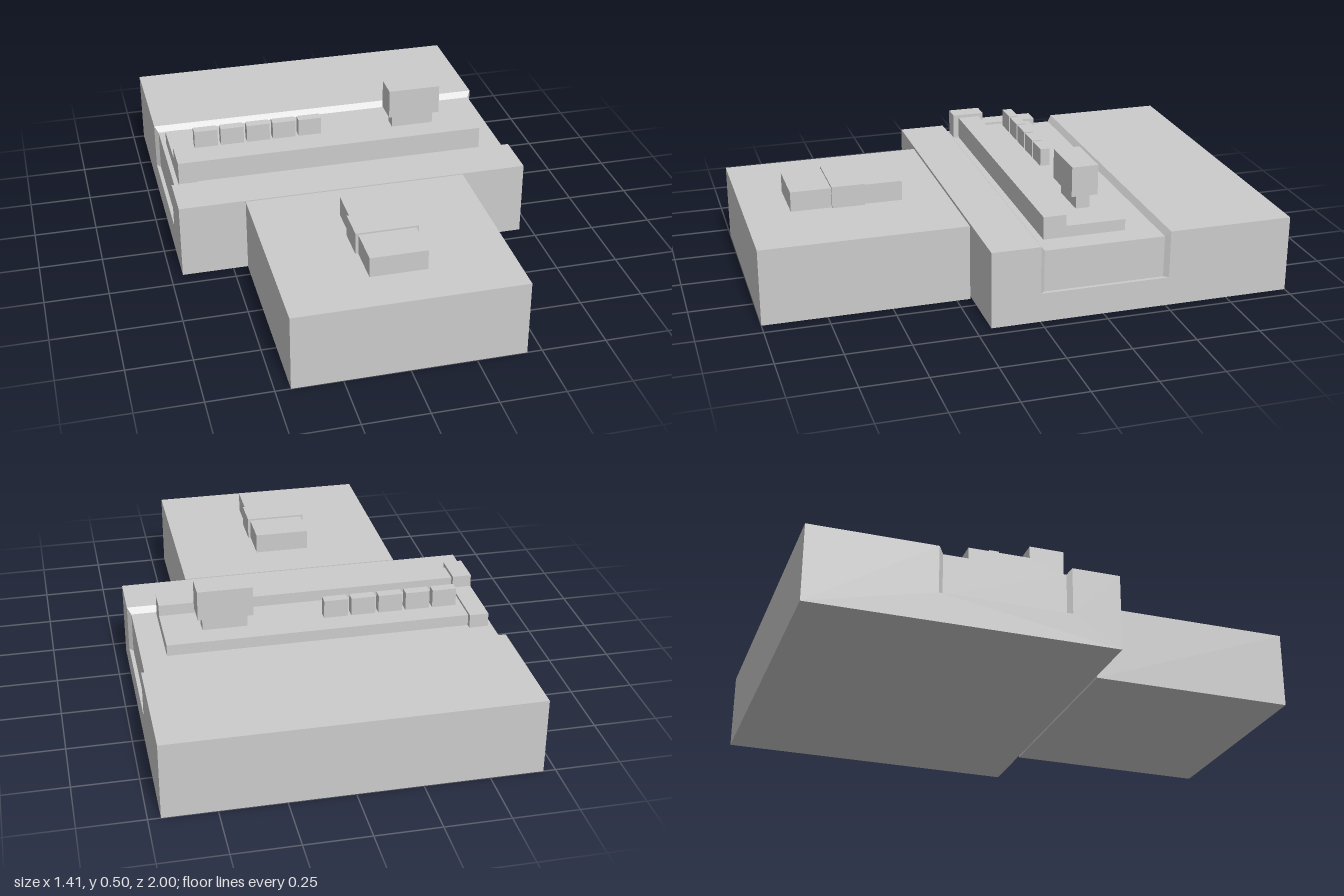
import * as THREE from 'three';

const material = new THREE.MeshStandardMaterial({ color: 0xcccccc, flatShading: true });

// Box given by its min and max corners
function box(name, [x0, y0, z0], [x1, y1, z1]) {
  const geo = new THREE.BoxGeometry(x1 - x0, y1 - y0, z1 - z0);
  geo.translate((x0 + x1) / 2, (y0 + y1) / 2, (z0 + z1) / 2);
  const mesh = new THREE.Mesh(geo, material);
  mesh.name = name;
  return mesh;
}

// Side profile of [z, y] points extruded along x
function profile(name, points, x0, x1) {
  const shape = new THREE.Shape(points.map(([z, y]) => new THREE.Vector2(-z, y)));
  const geo = new THREE.ExtrudeGeometry(shape, { depth: x1 - x0, bevelEnabled: false });
  geo.rotateY(Math.PI / 2);
  geo.translate(x0, 0, 0);
  const mesh = new THREE.Mesh(geo, material);
  mesh.name = name;
  return mesh;
}

// Sloped rim joining the channel edge to the sunken insert
function channelRim(name, zOuter, zInner) {
  const path = (x, y, z) => [[-x, 0.115, z], [-x, y, z], [x, y, z], [x, 0.115, z]];
  const outer = path(0.703, 0.303, zOuter), inner = path(0.688, 0.28, zInner);
  const pos = [];
  for (let i = 0; i < 3; i++) {
    const [a, b, c, d] = [outer[i], outer[i + 1], inner[i + 1], inner[i]];
    const quad = zOuter > zInner ? [a, b, c, a, c, d] : [a, c, b, a, d, c];
    pos.push(...quad.flat());
  }
  const geo = new THREE.BufferGeometry();
  geo.setAttribute('position', new THREE.Float32BufferAttribute(pos, 3));
  geo.computeVertexNormals();
  const rimMaterial = material.clone();
  rimMaterial.side = THREE.DoubleSide;
  const mesh = new THREE.Mesh(geo, rimMaterial);
  mesh.name = name;
  return mesh;
}

export function createModel() {
  const model = new THREE.Group();
  model.name = 'steppedConsole';

  // Wide rear base with a channel across it, and narrower front base
  model.add(profile('rearBase', [
    [0.19, 0], [0.19, 0.303], [0, 0.303], [0, 0.115],
    [-0.51, 0.115], [-0.51, 0.303], [-1, 0.303], [-1, 0],
  ], -0.703, 0.703));
  model.add(box('frontBase', [-0.442, 0, 0.197], [0.442, 0.303, 1]));

  // Sunken insert filling the channel, with its sloped rims
  model.add(box('channelInsert', [-0.688, 0.115, -0.492], [0.688, 0.28, -0.018]));
  model.add(channelRim('frontRim', 0, -0.018));
  model.add(channelRim('backRim', -0.51, -0.492));

  // Stepped deck and its larger end cap
  const stepped = (name, zFront, zStep, zBack, low, high, x0, x1) => profile(name, [
    [zFront, 0.28], [zFront, high], [zStep, high],
    [zStep, low], [zBack, low], [zBack, 0.28],
  ], x0, x1);
  model.add(stepped('deck', -0.045, -0.135, -0.37, 0.325, 0.37, -0.6, 0.59));
  model.add(stepped('deckEndCap', -0.022, -0.155, -0.392, 0.335, 0.383, -0.67, -0.595));

  // Row of five small blocks on the low deck
  for (let i = 0; i < 5; i++) {
    const x = -0.57 + i * 0.109;
    model.add(box('deckBlock' + (i + 1), [x, 0.325, -0.28], [x + 0.096, 0.398, -0.24]));
  }

  // Tower on a stem
  model.add(box('towerStem', [0.265, 0.325, -0.28], [0.44, 0.385, -0.225]));
  model.add(box('tower', [0.245, 0.383, -0.305], [0.46, 0.503, -0.2]));

  // Low block on the front base with a raised band around it
  model.add(box('frontBlock', [-0.11, 0.303, 0.38], [0.11, 0.383, 0.82]));
  model.add(box('frontBlockBand', [-0.121, 0.303, 0.53], [0.12, 0.39, 0.66]));

  return model;
}
